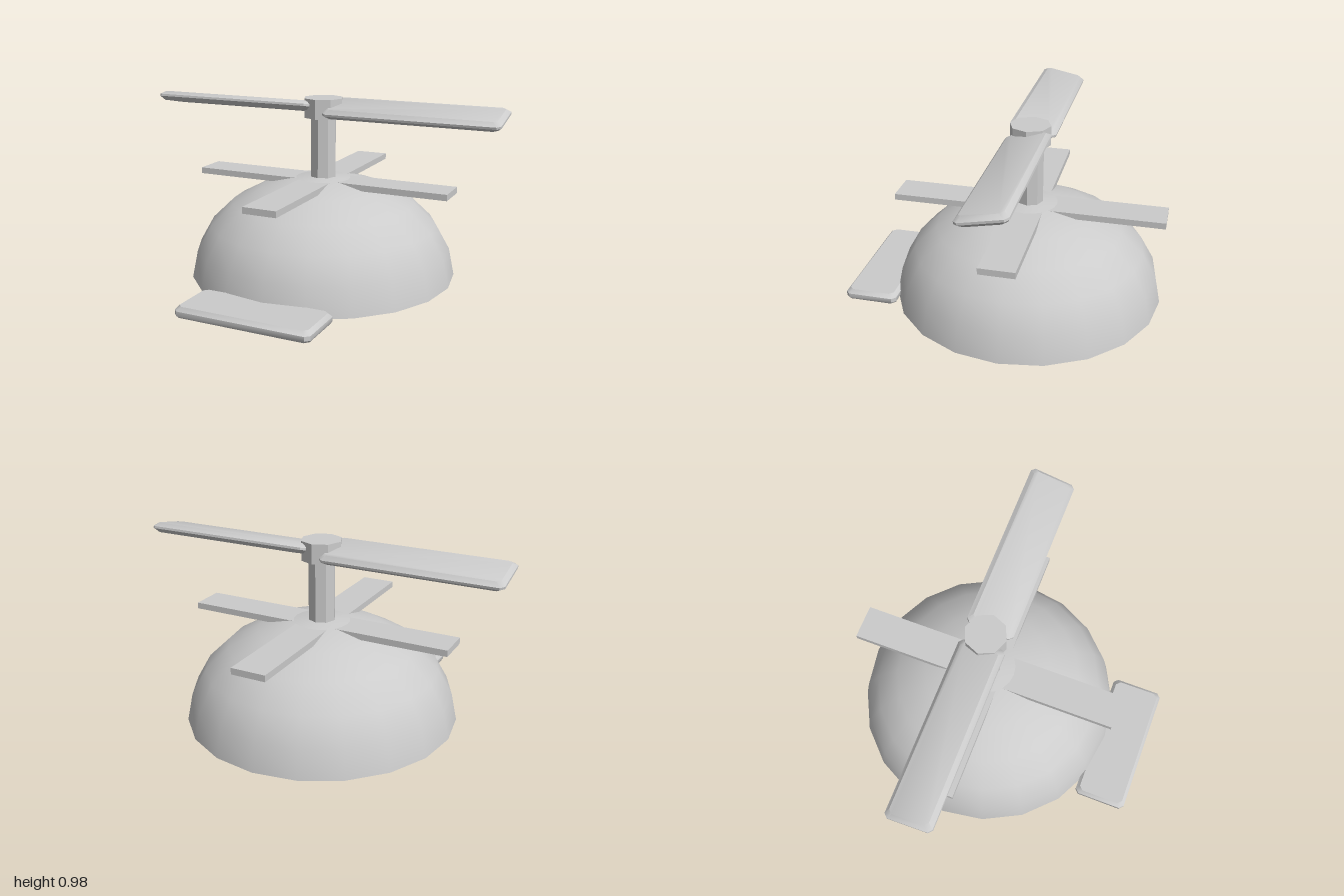
import * as THREE from 'three';
import { toCreasedNormals } from 'three/addons/utils/BufferGeometryUtils.js';

const AXIS_Z = -0.11; // centre line of dome and rotor

// Chamfered slab built from stacked octagonal rings; levels are [inset, y] from bottom to top
function slab(width, depth, cut, levels, openBottom = false) {
  const pos = [], idx = [];
  for (const [inset, y] of levels) {
    const hx = width / 2 - inset, hz = depth / 2 - inset;
    const ring = [
      [hx, -hz + cut], [hx, hz - cut], [hx - cut, hz], [-hx + cut, hz],
      [-hx, hz - cut], [-hx, -hz + cut], [-hx + cut, -hz], [hx - cut, -hz],
    ];
    for (const [x, z] of ring) pos.push(x, y, z);
  }
  for (let l = 0; l < levels.length - 1; l++) {
    for (let i = 0; i < 8; i++) {
      const a = l * 8 + i, b = l * 8 + (i + 1) % 8, c = b + 8, d = a + 8;
      idx.push(b, a, d, b, d, c);
    }
  }
  const top = (levels.length - 1) * 8;
  for (let i = 1; i < 7; i++) {
    idx.push(top, top + i + 1, top + i);
    if (!openBottom) idx.push(0, i, i + 1);
  }
  const geo = new THREE.BufferGeometry();
  geo.setAttribute('position', new THREE.Float32BufferAttribute(pos, 3));
  geo.setIndex(idx);
  return toCreasedNormals(geo, 0.6);
}

export function createModel() {
  const model = new THREE.Group();
  const solid = new THREE.MeshStandardMaterial({ color: 0xcccccc });
  const flat = new THREE.MeshStandardMaterial({ color: 0xcccccc, flatShading: true });
  const shell = new THREE.MeshStandardMaterial({ color: 0xcccccc, side: THREE.DoubleSide });

  function add(name, geo, mat, x, y, z) {
    const mesh = new THREE.Mesh(geo, mat);
    mesh.name = name;
    mesh.position.set(x, y, z);
    model.add(mesh);
    return mesh;
  }

  // Hollow cap dome, open underneath
  const profile = [
    [0.738, 0], [0.707, 0.15], [0.63, 0.287], [0.507, 0.405],
    [0.345, 0.49], [0.175, 0.538], [0, 0.553],
  ].map(([r, y]) => new THREE.Vector2(r, y));
  add('dome', new THREE.LatheGeometry(profile, 20), shell, 0, 0, AXIS_Z);

  // Brim: shallow shell with chamfered upper edge
  add('brim', slab(0.74, 0.29, 0.022, [[0.008, 0], [0, 0.012], [0, 0.035], [0.018, 0.056]], true),
    shell, 0, 0, 0.705);

  // Flat crossed strips through the crown
  add('crossStripX', new THREE.BoxGeometry(1.478, 0.034, 0.186), flat, 0, 0.523, AXIS_Z);
  add('crossStripZ', new THREE.BoxGeometry(0.186, 0.034, 1.478), flat, 0, 0.523, AXIS_Z);

  // Rotor mast and hub
  add('mast', new THREE.CylinderGeometry(0.073, 0.073, 0.38, 8), flat, 0, 0.71, AXIS_Z);
  add('hub', new THREE.CylinderGeometry(0.11, 0.11, 0.106, 8), flat, 0, 0.93, AXIS_Z);

  // Two blades pitched in opposite directions
  const bladeGeo = slab(0.96, 0.252, 0.02, [[0.022, -0.026], [0, -0.006], [0, 0.006], [0.022, 0.026]]);
  for (const side of [1, -1]) {
    const blade = add(side > 0 ? 'leftBlade' : 'rightBlade', bladeGeo, solid, side * 0.52, 0.93, AXIS_Z);
    blade.rotation.x = side * 0.2;
  }

  return model;
}
